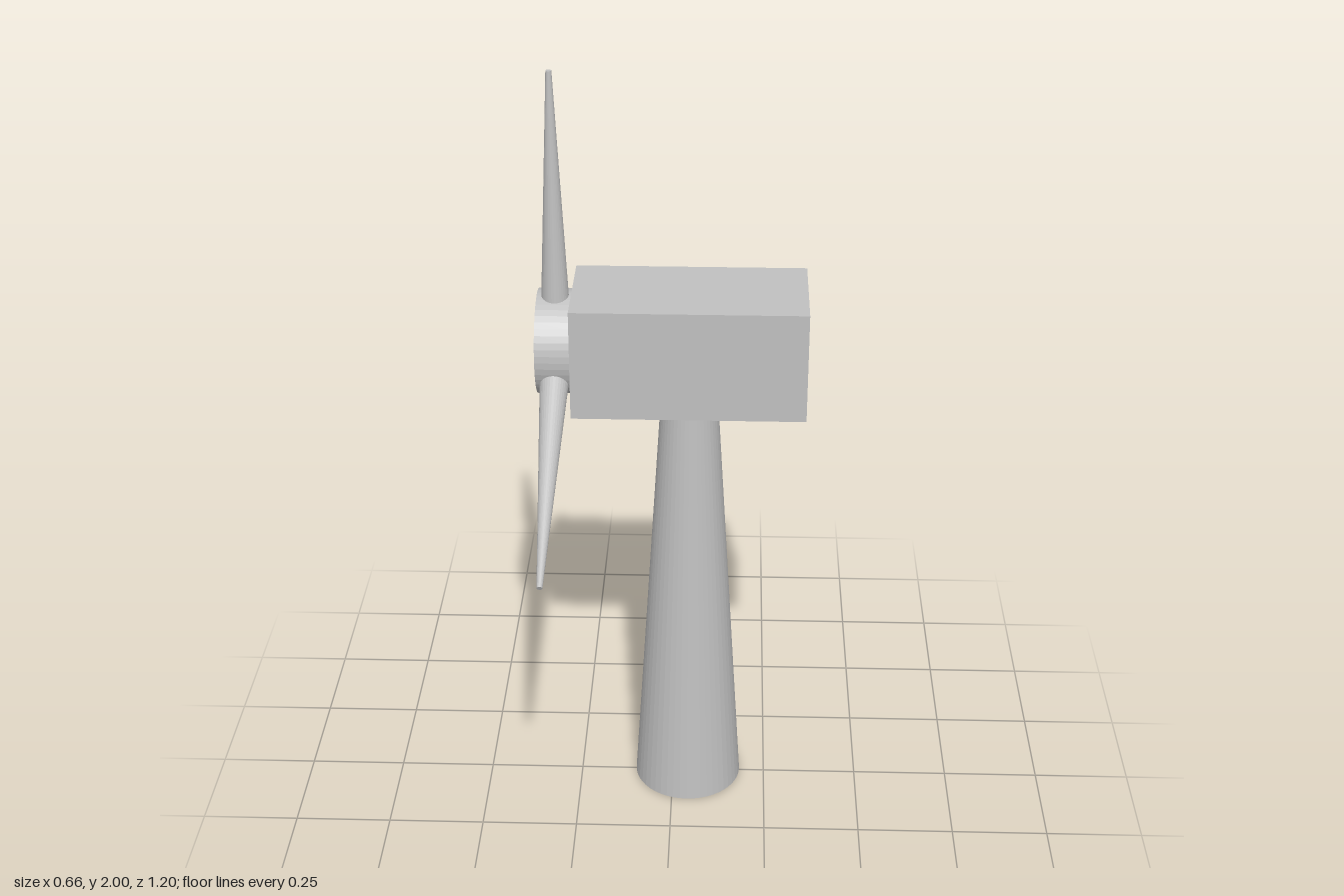
import * as THREE from 'three';

export function createModel() {
  const model = new THREE.Group();
  model.name = 'windTurbine';

  const grey = new THREE.MeshStandardMaterial({ color: 0xc0c0c0, flatShading: true });
  grey.name = 'light grey';

  const add = (name, geometry) => {
    const mesh = new THREE.Mesh(geometry, grey);
    mesh.name = name;
    model.add(mesh);
    return mesh;
  };

  // Tapered tower, its top hidden just inside the nacelle
  const towerHeight = 1.165;
  add('tower', new THREE.CylinderGeometry(0.071, 0.142, towerHeight, 48))
    .position.set(0.041, towerHeight / 2, -0.009);

  // Box-shaped nacelle
  add('nacelle', new THREE.BoxGeometry(0.577, 0.284, 0.284))
    .position.set(0.0415, 1.303, -0.01);

  // Short hub with its axis along x
  add('hub', new THREE.CylinderGeometry(0.13, 0.13, 0.086, 48).rotateZ(Math.PI / 2))
    .position.set(-0.29, 1.304, -0.01);

  // Three tapered blades, each from a root inside the hub to its tip, as [y, z]
  const blades = [
    { name: 'topBlade', root: [1.36, 0.002], tip: [2.0, 0.002] },
    { name: 'frontBlade', root: [1.252, 0.07], tip: [0.965, 0.597] },
    { name: 'backBlade', root: [1.254, -0.08], tip: [0.931, -0.597] },
  ];
  const up = new THREE.Vector3(0, 1, 0);
  for (const { name, root, tip } of blades) {
    const a = new THREE.Vector3(-0.288, ...root);
    const b = new THREE.Vector3(-0.288, ...tip);
    const axis = b.clone().sub(a);
    const blade = add(name, new THREE.CylinderGeometry(0.007, 0.037, axis.length(), 32));
    blade.position.copy(a).lerp(b, 0.5);
    blade.quaternion.setFromUnitVectors(up, axis.normalize());
  }

  return model;
}
